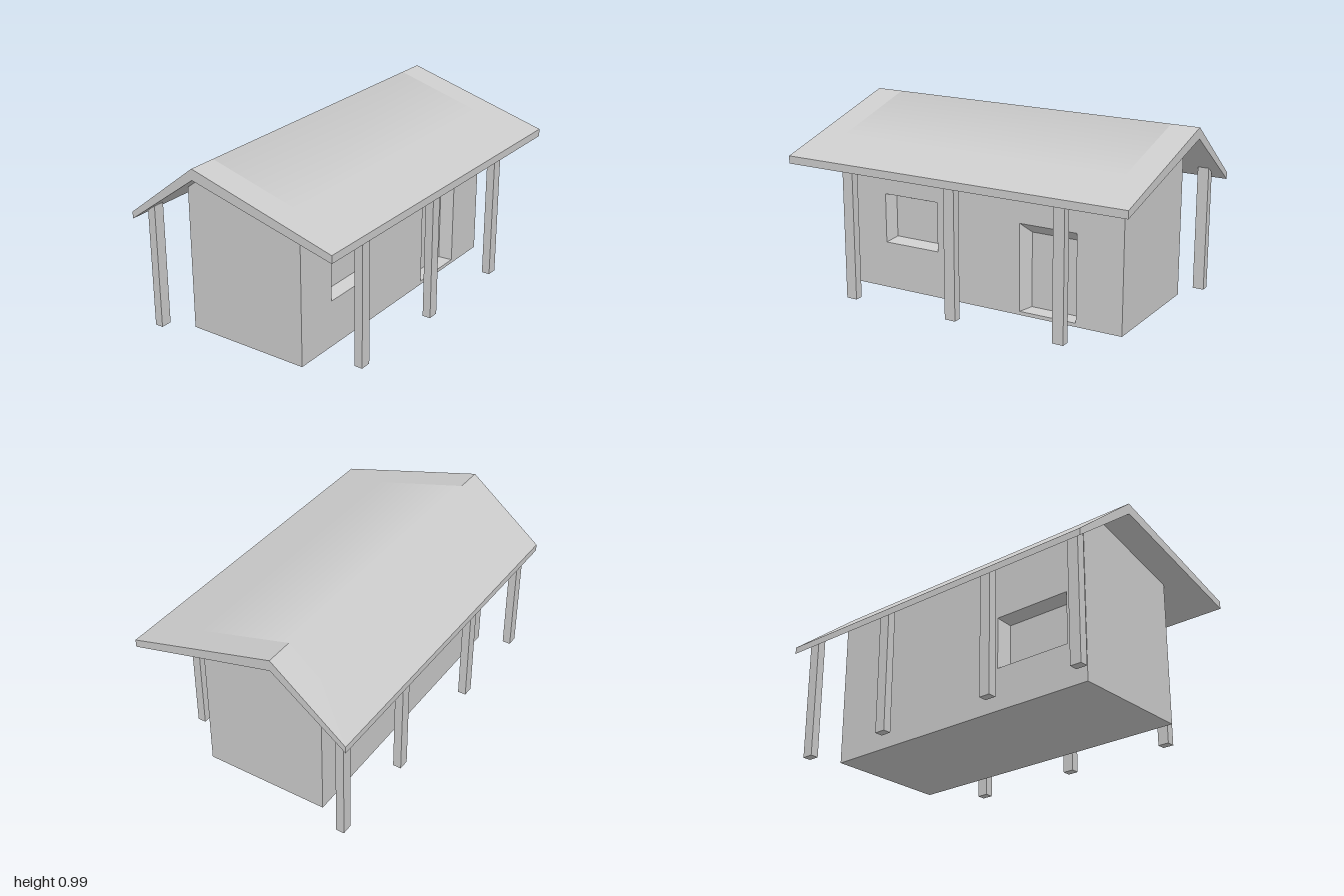
import * as THREE from 'three';

const HALF = 0.84, FRONT = 0.32, BACK = -0.38, WALL_TOP = 0.794;
const material = new THREE.MeshStandardMaterial({ color: 0xcccccc });

function add(parent, geometry, name) {
  const mesh = new THREE.Mesh(geometry, material);
  mesh.name = name;
  parent.add(mesh);
  return mesh;
}

const shapeOf = (points) => new THREE.Shape(points.map(([x, y]) => new THREE.Vector2(x, y)));
const corners = ([l, r, b, t]) => [[l, b], [r, b], [r, t], [l, t]];

// Tapered recess from an outer rectangle back to a smaller inner panel
function recessGeometry(outer, inner, depth) {
  const o = corners(outer).map(([x, y]) => [x, y, 0]);
  const n = corners(inner).map(([x, y]) => [x, y, -depth]);
  const positions = [];
  const quad = (a, b, c, d) => positions.push(...a, ...b, ...c, ...a, ...c, ...d);
  for (let k = 0; k < 4; k++) {
    const j = (k + 1) % 4;
    quad(o[k], o[j], n[j], n[k]);
  }
  quad(...n);
  const geometry = new THREE.BufferGeometry();
  geometry.setAttribute('position', new THREE.Float32BufferAttribute(positions, 3));
  geometry.computeVertexNormals();
  return geometry;
}

// Long wall with one or more recessed openings
function longWall(name, openings) {
  const wall = new THREE.Group();
  wall.name = name;
  const shape = shapeOf(corners([-HALF, HALF, 0, WALL_TOP]));
  for (const { outer, inner, part } of openings) {
    shape.holes.push(new THREE.Path(corners(outer).map(([x, y]) => new THREE.Vector2(x, y))));
    add(wall, recessGeometry(outer, inner, 0.07), part);
  }
  add(wall, new THREE.ShapeGeometry(shape), name + 'Panel');
  return wall;
}

// Roof profile extruded along x between x0 and x1
function roofSection(x0, x1) {
  const profile = shapeOf([
    [0.62, 0.718], [0.62, 0.76], [FRONT, 0.842], [-0.205, 0.985], [BACK, 0.846],
    [-0.62, 0.655], [-0.62, 0.617], [-0.205, 0.925],
  ]);
  const geometry = new THREE.ExtrudeGeometry(profile, { depth: x1 - x0, bevelEnabled: false });
  return geometry.rotateY(-Math.PI / 2).translate(x1, 0, 0);
}

// Soften the ridge by averaging the normals of both slopes
function softenRidge(geometry) {
  const { position, normal } = geometry.attributes;
  const mean = new THREE.Vector3(0, 0.964 + 0.78, 0.263 - 0.626).normalize();
  for (let i = 0; i < position.count; i++) {
    if (position.getY(i) > 0.98 && Math.abs(normal.getX(i)) < 0.5) {
      normal.setXYZ(i, mean.x, mean.y, mean.z);
    }
  }
  return geometry;
}

export function createModel() {
  const house = new THREE.Group();
  house.name = 'house';

  // Front wall with a window and a door
  const front = longWall('frontWall', [
    { part: 'frontWindow', outer: [-0.59, -0.255, 0.26, 0.535], inner: [-0.565, -0.28, 0.28, 0.51] },
    { part: 'door', outer: [0.25, 0.58, 0.02, 0.5], inner: [0.285, 0.555, 0.03, 0.44] },
  ]);
  front.position.z = FRONT;
  house.add(front);

  // Back wall with one window
  const back = longWall('backWall', [
    { part: 'backWindow', outer: [0.285, 0.725, 0.23, 0.51], inner: [0.31, 0.7, 0.25, 0.485] },
  ]);
  back.position.z = BACK;
  back.rotation.y = Math.PI;
  house.add(back);

  // Gable walls
  for (const side of [1, -1]) {
    const gable = shapeOf([
      [FRONT, 0], [FRONT, WALL_TOP], [-0.205, 0.926], [BACK, WALL_TOP], [BACK, 0],
    ].map(([z, y]) => [-side * z, y]));
    const geometry = new THREE.ShapeGeometry(gable).rotateY(side * Math.PI / 2).translate(side * HALF, 0, 0);
    add(house, geometry, side > 0 ? 'leftGable' : 'rightGable');
  }

  // Floor, facing down
  const floor = new THREE.PlaneGeometry(2 * HALF, FRONT - BACK).rotateX(Math.PI / 2);
  add(house, floor.translate(0, 0, (FRONT + BACK) / 2), 'floor');

  // Roof: soft ridge over the house, crisp overhangs at both ends
  add(house, softenRidge(roofSection(-HALF, HALF)), 'roof');
  add(house, roofSection(HALF, 0.997), 'leftRoofOverhang');
  add(house, roofSection(-0.997, -HALF), 'rightRoofOverhang');

  // Posts under the eaves, tops sunk slightly into the roof
  const rows = [
    { name: 'frontPost', z: 0.547, height: 0.74, xs: [-0.65, -0.02, 0.61] },
    { name: 'backPost', z: -0.543, height: 0.69, xs: [-0.91, -0.36, 0.35, 0.9] },
  ];
  for (const { name, z, height, xs } of rows) {
    for (const x of xs) {
      add(house, new THREE.BoxGeometry(0.062, height, 0.046), name).position.set(x, height / 2, z);
    }
  }

  return house;
}
